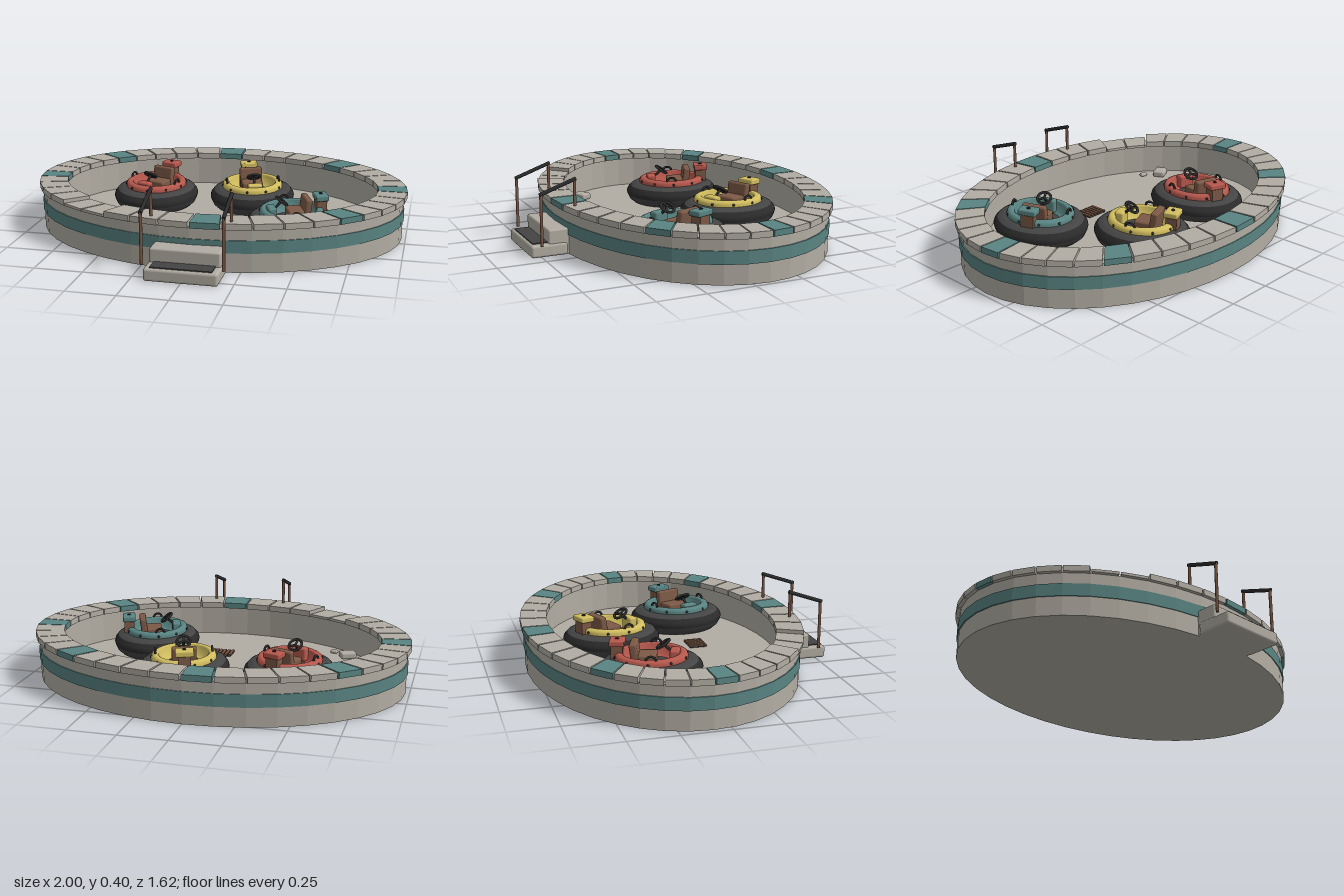
import * as THREE from 'three';
import { RoundedBoxGeometry } from 'three/addons/geometries/RoundedBoxGeometry.js';

const mat = (name, color) => {
  const m = new THREE.MeshStandardMaterial({ color });
  m.name = name;
  return m;
};

export function createModel() {
  const stone = mat('stone', 0xb2ada3);
  const teal = mat('teal', 0x598482);
  const rubber = mat('rubber', 0x444444);
  const black = mat('black', 0x2b2b2b);
  const brown = mat('brown', 0x7c5946);
  const red = mat('red', 0xb7584d);
  const yellow = mat('yellow', 0xd2be60);

  const model = new THREE.Group();
  model.name = 'bumperCarPool';

  const add = (parent, name, geo, m, x = 0, y = 0, z = 0) => {
    const mesh = new THREE.Mesh(geo, m);
    mesh.name = name;
    mesh.position.set(x, y, z);
    parent.add(mesh);
    return mesh;
  };
  const group = (parent, name, x = 0, y = 0, z = 0) => {
    const g = new THREE.Group();
    g.name = name;
    g.position.set(x, y, z);
    parent.add(g);
    return g;
  };
  const flat = (geo) => {
    const g = geo.toNonIndexed();
    g.computeVertexNormals();
    return g;
  };
  const lathe = (pts, segs) => new THREE.LatheGeometry(pts.map(([r, y]) => new THREE.Vector2(r, y)), segs);
  const box = (w, h, d) => new THREE.BoxGeometry(w, h, d);
  // straight round bar between two points
  const bar = (parent, name, a, b, r, m) => {
    const A = new THREE.Vector3(...a), B = new THREE.Vector3(...b);
    const mesh = add(parent, name, new THREE.CylinderGeometry(r, r, A.distanceTo(B), 10), m);
    mesh.position.copy(A).lerp(B, 0.5);
    mesh.quaternion.setFromUnitVectors(new THREE.Vector3(0, 1, 0), B.sub(A).normalize());
    return mesh;
  };

  // --- Oval pool: wall with floor, and painted band ---
  const FLOOR = 0.062;
  const pool = group(model, 'pool', 0, 0, -0.087);
  const ovalRing = (name, pts, m) => add(pool, name, flat(lathe(pts, 40).scale(1, 1, 0.72)), m);
  ovalRing('poolWallAndFloor', [[0, 0], [0.98, 0], [0.98, 0.225], [0.86, 0.225], [0.86, FLOOR], [0, FLOOR]], stone);
  ovalRing('paintedBand', [[0.978, 0.1], [0.986, 0.1], [0.986, 0.165], [0.978, 0.165]], teal);

  // --- Coping blocks around the rim, every fifth one painted ---
  const N = 40;
  for (let i = 0; i < N; i++) {
    const t0 = ((i + 0.03) / N) * Math.PI * 2, t1 = ((i + 0.97) / N) * Math.PI * 2;
    const worn = i === 25 || i === 26;
    const at = (t, rx, rz) => new THREE.Vector2(Math.cos(t) * rx, Math.sin(t) * rz);
    const shape = new THREE.Shape([
      at(t0, 0.848, 0.585), at(t0, 1, 0.725), at(t1, 1, 0.725), at(t1, 0.848, 0.585),
    ]);
    const geo = new THREE.ExtrudeGeometry(shape, { depth: worn ? 0.014 : 0.031, bevelEnabled: false });
    add(pool, 'copingBlock', geo.rotateX(-Math.PI / 2), i % 5 === 0 && !worn ? teal : stone, 0, 0.223, 0);
  }

  // --- Entry steps ---
  const steps = group(model, 'entrySteps');
  add(steps, 'lowerStep', new RoundedBoxGeometry(0.365, 0.065, 0.19, 3, 0.014), stone, 0, 0.0325, 0.709);
  add(steps, 'upperStep', new RoundedBoxGeometry(0.35, 0.136, 0.14, 3, 0.01), stone, 0, 0.068, 0.642);
  add(steps, 'treadMat', box(0.305, 0.007, 0.083), rubber, 0, 0.067, 0.748);

  // --- Handrails ---
  for (const x of [-0.2, 0.2]) {
    const rail = group(model, 'handrail');
    bar(rail, 'frontPost', [x, 0.065, 0.755], [x, 0.33, 0.755], 0.008, brown);
    bar(rail, 'rearPost', [x, 0.25, 0.58], [x, 0.39, 0.58], 0.008, brown);
    bar(rail, 'handGrip', [x, 0.325, 0.762], [x, 0.391, 0.573], 0.01, black);
  }

  // --- Floor drain ---
  const drain = group(model, 'drain', 0.05, FLOOR, 0.135);
  add(drain, 'drainBase', box(0.12, 0.006, 0.095), black, 0, 0.003, 0);
  for (let i = 0; i < 6; i++) add(drain, 'drainSlat', box(0.014, 0.008, 0.095), brown, -0.0525 + i * 0.021, 0.007, 0);

  // --- Loose stones on the floor ---
  for (const [x, z, w, h, d, a] of [[-0.632, 0.237, 0.085, 0.035, 0.065, 0.45], [-0.55, 0.297, 0.042, 0.02, 0.03, -0.2]]) {
    add(model, 'looseStone', new RoundedBoxGeometry(w, h, d, 3, 0.01), stone, x, FLOOR + h / 2, z).rotation.y = a;
  }

  // --- Bumper cars ---
  const tyreSide = lathe([[0.15, 0.001], [0.197, 0.001], [0.218, 0.02], [0.229, 0.045]], 40);
  const tyreTread = lathe([[0.229, 0.045], [0.233, 0.06], [0.229, 0.076], [0.212, 0.096]], 40);
  const tyreTop = lathe([[0.212, 0.096], [0.195, 0.106], [0.18, 0.11], [0.15, 0.111]], 40);
  const rim = lathe([[0.166, 0.1], [0.166, 0.122], [0.161, 0.134], [0.15, 0.14], [0.135, 0.14], [0.127, 0.134],
    [0.122, 0.085], [0.09, 0.08]], 40);
  const handle = new THREE.TorusGeometry(0.022, 0.006, 6, 12, Math.PI);

  const bumperCar = (x, z, degrees, paint) => {
    const oval = group(model, 'bumperCar', x, FLOOR, z);
    oval.scale.z = 1.12;
    const car = group(oval, 'carParts');
    car.rotation.y = THREE.MathUtils.degToRad(degrees);

    add(car, 'tyreSide', tyreSide, rubber);
    add(car, 'tyreTread', tyreTread, black);
    add(car, 'tyreTop', tyreTop, rubber);
    add(car, 'tub', rim, paint);
    add(car, 'footwell', new THREE.CylinderGeometry(0.095, 0.095, 0.02, 32), rubber, 0, 0.071, 0);

    // seat cushion and backrest
    add(car, 'seatCushion', new RoundedBoxGeometry(0.115, 0.05, 0.085, 2, 0.01), brown, 0, 0.108, -0.018);
    const back = add(car, 'seatBack', new RoundedBoxGeometry(0.125, 0.11, 0.035, 2, 0.01), brown, 0, 0.138, -0.073);
    back.rotation.x = -0.12;

    // motor post with painted cap
    add(car, 'motorPost', box(0.064, 0.085, 0.054), brown, 0, 0.14, -0.152);
    add(car, 'motorCap', new RoundedBoxGeometry(0.092, 0.03, 0.068, 2, 0.007), paint, 0, 0.189, -0.152);
    add(car, 'capKnob', new THREE.CylinderGeometry(0.009, 0.009, 0.006, 10), black, 0, 0.206, -0.152);

    // console, column and steering wheel
    add(car, 'console', new RoundedBoxGeometry(0.08, 0.07, 0.045, 2, 0.01), paint, 0, 0.118, 0.106);
    bar(car, 'steeringColumn', [0, 0.13, 0.1], [0, 0.176, 0.055], 0.007, black);
    const wheel = group(car, 'steeringWheel', 0, 0.178, 0.053);
    wheel.rotation.x = Math.PI / 2 - 0.65;
    add(wheel, 'wheelRim', new THREE.TorusGeometry(0.034, 0.007, 8, 20), black);
    for (let k = 0; k < 3; k++) {
      const a = Math.PI / 2 + (k * Math.PI * 2) / 3;
      bar(wheel, 'wheelSpoke', [0, 0, 0], [Math.cos(a) * 0.034, Math.sin(a) * 0.034, 0], 0.006, black);
    }

    // grab handles on both sides of the rim
    for (const s of [-1, 1]) {
      add(car, 'grabHandle', handle, black, s * 0.144, 0.138, 0.01).rotation.y = Math.PI / 2;
    }
    // studs around the tub
    for (let k = 0; k < 10; k++) {
      const a = ((k + 0.5) / 10) * Math.PI * 2;
      add(car, 'stud', new THREE.SphereGeometry(0.007, 8, 6), black, Math.sin(a) * 0.164, 0.122, Math.cos(a) * 0.164);
    }
  };
  bumperCar(-0.403, -0.23, -18, red);
  bumperCar(0.132, -0.315, 20, yellow);
  bumperCar(0.423, 0.132, -67, teal);

  return model;
}
